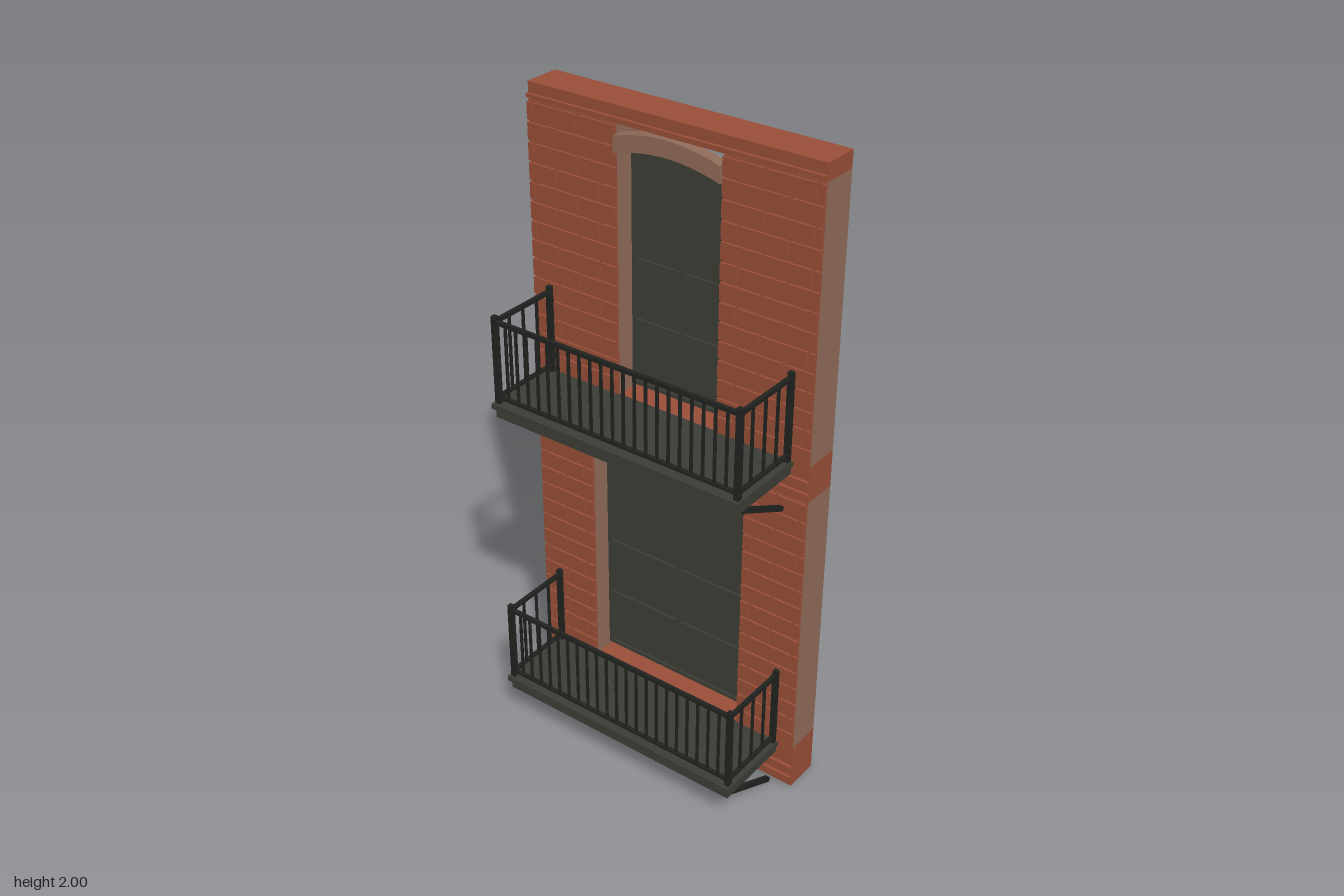
import * as THREE from 'three';

const mat = (name, color) => {
  const m = new THREE.MeshStandardMaterial({ color });
  m.name = name;
  return m;
};

export function createModel() {
  const brick = mat('brick red', 0x984e37);
  const stone = mat('brown stone', 0x8f6a58);
  const panel = mat('dark paint', 0x3c3d36);
  const iron = mat('black iron', 0x20221f);

  // Box given by its min and max on each axis
  const box = (parent, name, m, x0, x1, y0, y1, z0, z1) => {
    const mesh = new THREE.Mesh(new THREE.BoxGeometry(x1 - x0, y1 - y0, z1 - z0), m);
    mesh.position.set((x0 + x1) / 2, (y0 + y1) / 2, (z0 + z1) / 2);
    mesh.name = name;
    parent.add(mesh);
    return mesh;
  };
  const group = (parent, name) => {
    const g = new THREE.Group();
    g.name = name;
    parent.add(g);
    return g;
  };

  const W = 0.47, BACK = -0.19, FACE = -0.076;
  const model = new THREE.Group();
  model.name = 'facade';

  // Horizontal bands with thin string courses
  const bands = group(model, 'bands');
  for (const [y0, y1, courses] of [
    [0.01, 0.16, [[0.038, 0.048], [0.075, 0.088]]],
    [1.03, 1.145, [[1.052, 1.062], [1.09, 1.1]]],
    [1.95, 2, [[1.958, 1.969]]],
  ]) {
    box(bands, 'band', brick, -W, W, y0, y1, BACK, -0.078);
    for (const [a, b] of courses) box(bands, 'stringCourse', brick, -W, W, a, b, -0.08, -0.068);
  }

  // Running-bond bricks on a pier between x0 and x1
  const addBricks = (parent, x0, x1, y0, y1) => {
    const rows = Math.round((y1 - y0) / 0.0575), h = (y1 - y0) / rows, len = 0.15, gap = 0.004;
    for (let r = 0; r < rows; r++) {
      for (let x = -0.525 - (r % 2) * len / 2; x < x1; x += len) {
        const a = Math.max(x + gap, x0), b = Math.min(x + len - gap, x1);
        if (b - a > 0.01) {
          box(parent, 'brick', brick, a, b, y0 + r * h + gap, y0 + (r + 1) * h - gap, FACE, -0.069);
        }
      }
    }
  };

  // Segmental arch band: springs at y, rises by rise
  const addArch = (parent, hw, y, rise, thick) => {
    const s = new THREE.Shape(), n = 16;
    const curve = (t) => rise * (1 - t * t);
    for (let i = 0; i <= n; i++) {
      const t = -1 + 2 * i / n;
      if (i) s.lineTo(t * hw, y + curve(t));
      else s.moveTo(t * hw, y + curve(t));
    }
    for (let i = n; i >= 0; i--) {
      const t = -1 + 2 * i / n;
      s.lineTo(t * hw, y + thick + curve(t));
    }
    const mesh = new THREE.Mesh(
      new THREE.ExtrudeGeometry(s, { depth: 0.035, bevelEnabled: false }), stone);
    mesh.position.z = -0.095;
    mesh.name = 'arch';
    parent.add(mesh);
  };

  // Double door with raised frame, centre stile and rails
  const addDoor = (parent, hw, y0, y1, rails) => {
    const door = group(parent, 'door');
    box(door, 'doorPanel', panel, -hw, hw, y0, y1, -0.153, -0.145);
    const bar = (x0, x1, a, b) => box(door, 'doorFrame', panel, x0, x1, a, b, -0.147, -0.138);
    for (const s of [-1, 1]) bar(s * (hw - 0.007) - 0.007, s * (hw - 0.007) + 0.007, y0, y1);
    bar(-0.008, 0.008, y0, y1);
    for (const y of [y0 + 0.007, y1 - 0.007, ...rails]) bar(-hw, hw, y - 0.006, y + 0.006);
  };

  // Balcony with slab, railing and braces; y is the floor level
  const addBalcony = (parent, y) => {
    const g = group(parent, 'balcony');
    box(g, 'floor', panel, -0.42, 0.42, y - 0.016, y, -0.075, 0.187);
    box(g, 'floorBeam', panel, -0.412, 0.412, y - 0.045, y - 0.016, -0.077, 0.177);
    const X = 0.407, ZF = 0.168, ZB = -0.063;
    const rod = (name, x, z, w, y0, y1) =>
      box(g, name, iron, x - w / 2, x + w / 2, y0, y1, z - w / 2, z + w / 2);
    for (const s of [-1, 1]) {
      for (const z of [ZF, ZB]) rod('post', s * X, z, 0.016, y, y + 0.272);
      for (let i = 1; i < 4; i++) {
        rod('baluster', s * X, ZB + (ZF - ZB) * i / 4, 0.007, y + 0.02, y + 0.255);
      }
    }
    for (let i = 1; i < 22; i++) rod('baluster', -X + 2 * X * i / 22, ZF, 0.007, y + 0.02, y + 0.255);
    for (const [a, b] of [[0.015, 0.024], [0.249, 0.261]]) {
      box(g, 'frontRail', iron, -X, X, y + a, y + b, ZF - 0.006, ZF + 0.006);
      for (const s of [-1, 1]) {
        box(g, 'sideRail', iron, s * X - 0.006, s * X + 0.006, y + a, y + b, ZB, ZF);
      }
    }
    // Sloping braces from the wall to the slab
    for (const x of [-0.396, 0, 0.396]) {
      const dz = 0.2, dy = 0.1;
      const brace = box(g, 'brace', iron, -0.008, 0.008, -0.007, 0.007,
        -Math.hypot(dz, dy) / 2, Math.hypot(dz, dy) / 2);
      brace.position.set(x, y - 0.104, 0.038);
      brace.rotation.x = -Math.atan2(dy, dz);
    }
  };

  // Two storeys
  for (const f of [
    { name: 'lowerStorey', y0: 0.16, y1: 1.03, hw: 0.27, top: 0.95, rails: [0.565, 0.37], spring: 0.95, rise: 0.03, floor: 0.163 },
    { name: 'upperStorey', y0: 1.145, y1: 1.95, hw: 0.17, top: 1.87, rails: [1.545, 1.36], spring: 1.875, rise: 0.027, floor: 1.149 },
  ]) {
    const g = group(model, f.name);
    for (const s of [-1, 1]) {
      const x0 = s < 0 ? -W : f.hw, x1 = s < 0 ? -f.hw : W;
      box(g, 'pier', stone, x0, x1, f.y0, f.y1, BACK, FACE - 0.002);
      box(g, 'brickBed', brick, x0, x1, f.y0, f.y1, FACE - 0.002, FACE);
      addBricks(g, x0, x1, f.y0, f.y1);
    }
    addDoor(g, f.hw, f.y0 + 0.01, f.top, f.rails);
    addArch(g, f.hw, f.spring, f.rise, 0.048);
    addBalcony(g, f.floor);
  }
  return model;
}
